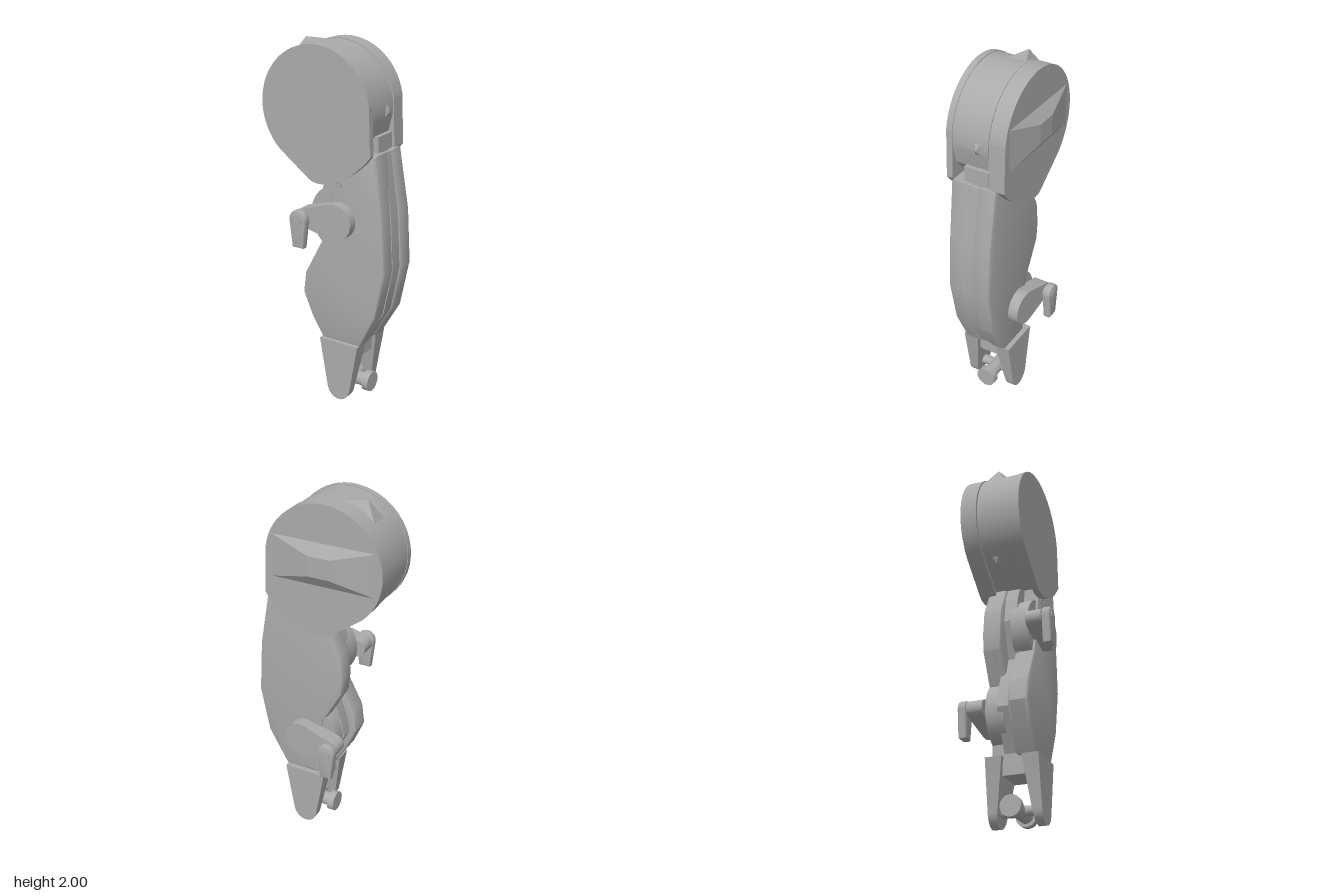
import * as THREE from 'three';
import { toCreasedNormals } from 'three/addons/utils/BufferGeometryUtils.js';

export function createModel() {
  const root = new THREE.Group();
  root.name = 'mechanicalArm';
  const grey = new THREE.MeshStandardMaterial({ color: 0xaaaaaa });
  grey.name = 'plain grey';

  const add = (name, geometry, parent = root) => {
    const mesh = new THREE.Mesh(geometry, grey);
    mesh.name = name;
    parent.add(mesh);
    return mesh;
  };
  const poly = (pts) => new THREE.Shape(pts.map(([x, y]) => new THREE.Vector2(x, y)));

  // Move every vertex of a geometry by a rule
  const warp = (g, rule) => {
    const p = g.attributes.position;
    const v = new THREE.Vector3();
    for (let i = 0; i < p.count; i++) {
      v.fromBufferAttribute(p, i);
      rule(v);
      p.setXYZ(i, v.x, v.y, v.z);
    }
    return g;
  };

  // Flat plate between two z values, with an optional bevel kept inside the outline
  const plate = (shape, za, zb, bevel = 0, rule = null) => {
    const z0 = Math.min(za, zb), z1 = Math.max(za, zb);
    const g = new THREE.ExtrudeGeometry(shape, {
      depth: z1 - z0 - 2 * bevel, curveSegments: 40, bevelEnabled: bevel > 0,
      bevelSize: bevel, bevelThickness: bevel, bevelOffset: -bevel, bevelSegments: 2,
    });
    g.translate(0, 0, z0 + bevel);
    if (rule) warp(g, rule);
    return toCreasedNormals(g, 0.5);
  };

  const disc = (name, r, len, x, y, z, axis = 'z', parent = root) => {
    const g = new THREE.CylinderGeometry(r, r, len, 32);
    if (axis === 'z') g.rotateX(Math.PI / 2);
    else g.rotateZ(Math.PI / 2);
    g.translate(x, y, z);
    return add(name, g, parent);
  };

  // ---- Head: teardrop drum with two plates and a faceted middle ----
  const head = new THREE.Group();
  head.name = 'head';
  root.add(head);
  const cx = -0.05, cy = 1.67, R = 0.33;

  const outline = new THREE.Shape();
  outline.moveTo(0.286, 1.46);
  outline.lineTo(0.276, 1.72);
  outline.absarc(cx, cy, R, 0.15, Math.PI * 1.27, false);
  outline.lineTo(-0.09, 1.29);
  outline.quadraticCurveTo(-0.06, 1.268, -0.01, 1.272);
  outline.quadraticCurveTo(0.16, 1.3, 0.286, 1.46);
  add('headFrontPlate', plate(outline, 0.135, 0.17), head);
  add('headBackDisc', plate(outline, -0.17, -0.078), head);

  const middle = new THREE.Shape();
  middle.moveTo(0.25, 1.54);
  middle.lineTo(0.274, 1.64);
  middle.absarc(cx, cy, R - 0.004, -0.05, Math.PI * 1.27, false);
  middle.lineTo(-0.09, 1.3);
  middle.lineTo(0.08, 1.36);
  add('headMiddle', plate(middle, -0.073, 0.135), head);
  const core = new THREE.Shape();
  core.absarc(cx, cy, R - 0.02, 0, Math.PI * 2, false);
  add('headSeam', plate(core, -0.079, -0.072), head);

  // Low pyramids around the rim
  for (const [angle, reach] of [[117, 0.372], [-1, 0.343], [236, 0.343]]) {
    const g = new THREE.ConeGeometry(1, 1, 4, 1).toNonIndexed();
    g.rotateY(Math.PI / 4);
    g.scale(0.25, 0.11, 0.13);
    g.translate(0, reach - 0.055, 0);
    g.computeVertexNormals();
    g.rotateZ(THREE.MathUtils.degToRad(angle - 90));
    g.translate(cx, cy, -0.01);
    add('rimFacet', g, head);
  }

  // Shallow raised wedge on the back
  const wedge = warp(new THREE.BoxGeometry(2, 2, 1).toNonIndexed(), (v) => {
    const outer = v.z < 0;
    v.set(cx + v.x * (outer ? 0.06 : 0.3), 1.68 + v.y * (outer ? 0.055 : 0.12), outer ? -0.213 : -0.168);
  });
  wedge.computeVertexNormals();
  add('backWedge', wedge, head);

  const neck = new THREE.BoxGeometry(0.2, 0.16, 0.14);
  neck.translate(0.175, 1.465, 0);
  add('neck', neck);

  // ---- Arm: two offset shells around a core ----
  const arm = new THREE.Group();
  arm.name = 'arm';
  root.add(arm);
  const rightEdge = [[0.21, 0.36], [0.318, 0.56], [0.37, 0.82], [0.352, 1.12], [0.3, 1.46]];
  const lean = (v) => {
    // The outer edge leans slightly, widest toward the back
    if (v.x > 0.22 && v.y < 1.4) v.x += v.z > 0 ? -0.012 : 0.006;
  };
  add('frontShell', plate(poly([[-0.03, 0.36], ...rightEdge, [0.05, 1.46], [0.02, 1.2],
    [-0.02, 1.0], [-0.04, 0.93], [-0.145, 0.73], [-0.16, 0.61], [-0.1, 0.47]]), 0.02, 0.135, 0.016, lean), arm);
  add('backShell', plate(poly([[-0.0, 0.36], ...rightEdge, [0.0, 1.46], [-0.08, 1.27],
    [-0.135, 1.16], [-0.15, 1.02], [-0.14, 0.92], [-0.03, 0.72], [0.0, 0.55]]), -0.13, -0.02, 0.022, lean), arm);
  add('armCore', plate(poly([[0.0, 0.36], [0.2, 0.36], [0.312, 0.56], [0.362, 0.82], [0.346, 1.12],
    [0.294, 1.455], [0.03, 1.45], [-0.07, 1.25], [-0.1, 1.1], [-0.03, 0.9], [-0.1, 0.7], [-0.12, 0.6]]),
  -0.05, 0.05), arm);

  // ---- Cranks: one on the front, one lower on the back ----
  const makeCrank = (name, y, s) => {
    const crank = new THREE.Group();
    crank.name = name;
    root.add(crank);
    const bx = 0.08, px = -0.107;
    disc('crankBoss', 0.19, 0.1, bx, y, s * 0.07, 'z', crank);
    // Tapered lever
    const lever = new THREE.Shape();
    lever.absarc(bx, y, 0.1, -1.83, 1.83, false);
    lever.absarc(px, y, 0.048, 1.83, Math.PI * 2 - 1.83, false);
    add('crankLever', plate(lever, s * 0.12, s * 0.19, 0, (v) => {
      if (Math.abs(v.z) > 0.16) v.z = s * (0.188 + (0.18 - v.x) * 0.065);
    }), crank);
    disc('crankPin', 0.035, 0.04, px, y, s * 0.212, 'z', crank);
    // Hanging grip
    const grip = new THREE.Shape();
    grip.moveTo(px - 0.034, y - 0.16);
    grip.lineTo(px + 0.034, y - 0.16);
    grip.absarc(px, y, 0.053, -0.12, Math.PI + 0.12, false);
    add('crankGrip', plate(grip, s * 0.212, s * 0.26, 0.012), crank);
    disc('gripCap', 0.026, 0.01, px, y, s * 0.26, 'z', crank);
  };
  makeCrank('frontCrank', 1.08, 1);
  makeCrank('backCrank', 0.605, -1);

  const ring = new THREE.TorusGeometry(0.013, 0.004, 8, 20);
  ring.translate(0.08, 1.28, 0.135);
  add('smallRing', ring);

  // ---- Fork and axle ----
  const fx = 0.082;
  const prong = new THREE.Shape();
  prong.moveTo(fx - 0.122, 0.36);
  prong.lineTo(fx - 0.073, 0.08);
  prong.bezierCurveTo(fx - 0.06, -0.02, fx + 0.06, -0.02, fx + 0.073, 0.08);
  prong.lineTo(fx + 0.122, 0.36);
  for (const s of [1, -1]) {
    add('forkProng', plate(prong, s * 0.08, s * 0.148, 0, (v) => {
      if (Math.abs(v.z) < 0.1) v.z = s * (0.105 - 0.05 * v.y / 0.36);
    }));
  }
  const knee = new THREE.BoxGeometry(0.18, 0.13, 0.12);
  knee.translate(fx, 0.325, 0);
  add('kneeBlock', knee);

  disc('axleAcross', 0.028, 0.22, fx, 0.088, 0, 'z');
  disc('axle', 0.04, 0.24, fx, 0.088, 0, 'x');
  for (const s of [1, -1]) disc('axleWheel', 0.058, 0.04, fx + s * 0.115, 0.088, 0, 'x');

  return root;
}
